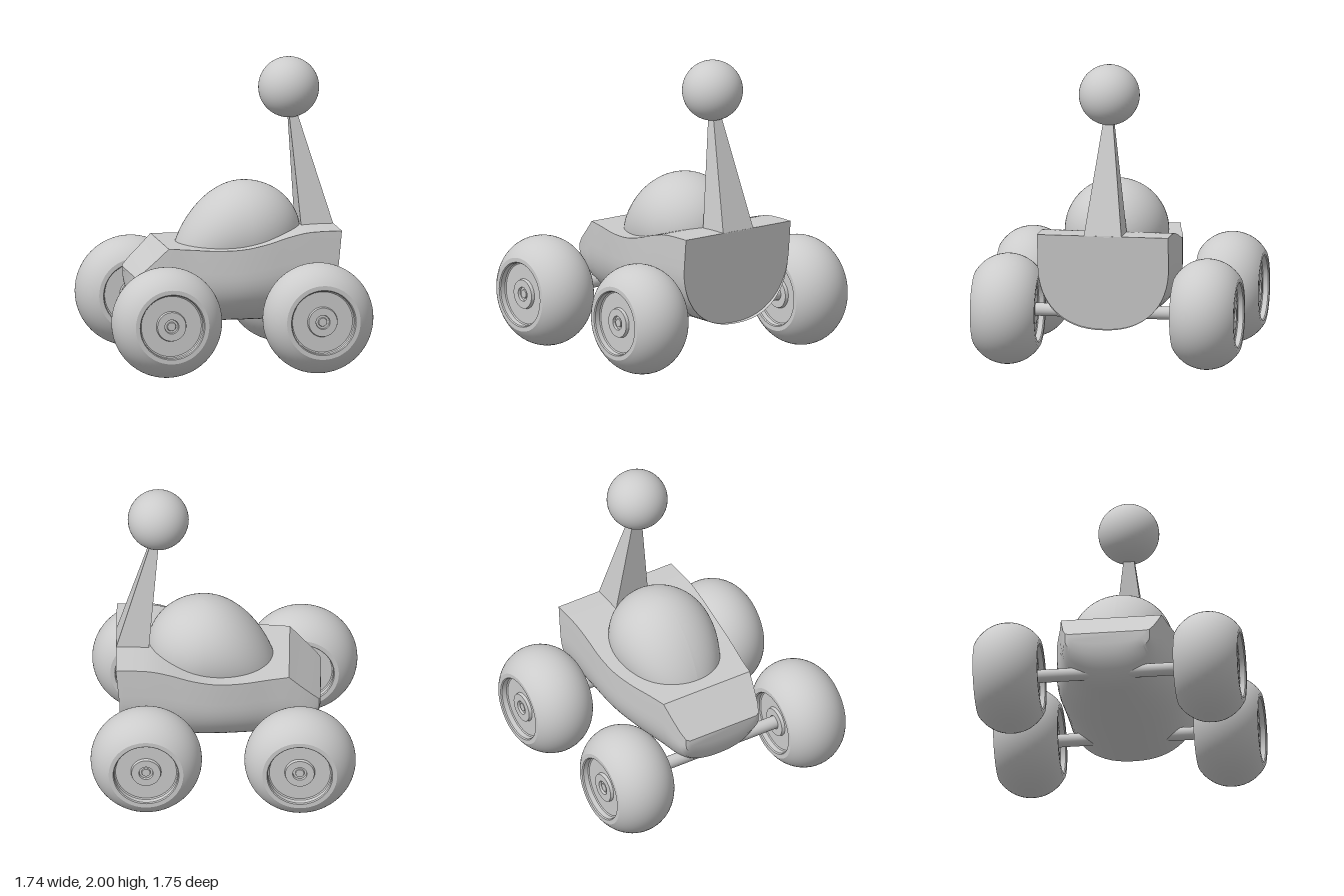
import * as THREE from 'three';
import { toCreasedNormals } from 'three/addons/utils/BufferGeometryUtils.js';

const material = new THREE.MeshStandardMaterial({ color: 0xcccccc });

function add(parent, name, geometry, x = 0, y = 0, z = 0) {
  const mesh = new THREE.Mesh(geometry, material);
  mesh.name = name;
  mesh.position.set(x, y, z);
  parent.add(mesh);
  return mesh;
}

// Hull: U-shaped cross-sections lofted along x, with a flat deck
function hullGeometry() {
  // sections: x, top y, bottom y, half width
  const sections = [
    [-0.635, 0.6, 0.52, 0.255], [-0.625, 0.61, 0.45, 0.28],
    [-0.58, 0.655, 0.36, 0.3], [-0.5, 0.73, 0.295, 0.318],
  ];
  const deck = new THREE.CatmullRomCurve3([
    [-0.43, 0.8, 0.333], [-0.3, 0.794, 0.357], [-0.12, 0.787, 0.397], [0.05, 0.795, 0.425],
    [0.2, 0.825, 0.436], [0.35, 0.87, 0.437], [0.47, 0.897, 0.437], [0.58, 0.904, 0.436],
    [0.705, 0.905, 0.435],
  ].map((p) => new THREE.Vector3(...p)));
  for (const p of deck.getPoints(40)) sections.push([p.x, p.y, 0.275, p.z]);

  const positions = [], index = [], steps = 32, ring = steps + 3;
  const last = sections.length - 1;
  sections.forEach(([x, top, bottom, w], i) => {
    const mid = bottom + 0.7 * (top - bottom);
    const put = (y, z) => {
      // the tail face leans inward toward the bottom
      const lean = i === last ? 0.095 * (0.905 - y) : 0;
      positions.push(x - lean, y, z);
    };
    put(top, w);
    for (let j = 0; j <= steps; j++) {
      const a = (Math.PI * j) / steps, c = Math.cos(a), s = Math.max(0, Math.sin(a)), e = 2 / 2.3;
      put(mid - (mid - bottom) * s ** e, w * Math.sign(c) * Math.abs(c) ** e);
    }
    put(top, -w);
  });
  for (let i = 0; i < last; i++) {
    for (let j = 0; j < ring; j++) {
      const k = (j + 1) % ring, a = i * ring, b = a + ring;
      index.push(a + j, a + k, b + j, a + k, b + k, b + j);
    }
  }
  // end caps
  const t = last * ring;
  for (let j = 1; j < ring - 1; j++) index.push(0, j + 1, j, t, t + j, t + j + 1);

  const geometry = new THREE.BufferGeometry();
  geometry.setAttribute('position', new THREE.Float32BufferAttribute(positions, 3));
  geometry.setIndex(index);
  return toCreasedNormals(geometry, 0.6);
}

// Canopy: a sphere stretched and drooping toward the nose
function canopyGeometry() {
  const geometry = new THREE.SphereGeometry(1, 64, 40);
  const p = geometry.attributes.position;
  for (let i = 0; i < p.count; i++) {
    const x = p.getX(i), t = Math.max(0, -x);
    p.setXYZ(i, x * (x < 0 ? 0.48 : 0.37), p.getY(i) * 0.34 - 0.19 * t * t, p.getZ(i) * 0.34);
  }
  geometry.computeVertexNormals();
  return geometry;
}

// Mast: a box tapering upward and leaning forward
function mastGeometry() {
  const geometry = new THREE.BoxGeometry(1, 1, 1).toNonIndexed();
  const p = geometry.attributes.position;
  for (let i = 0; i < p.count; i++) {
    const up = p.getY(i) > 0, right = p.getX(i) > 0;
    const x = up ? (right ? 0.475 : 0.425) : (right ? 0.705 : 0.49);
    p.setXYZ(i, x, up ? 1.65 : 0.9, Math.sign(p.getZ(i)) * (up ? 0.03 : 0.125));
  }
  geometry.computeVertexNormals();
  return geometry;
}

// Wheel: one profile, mirrored, for tyre, recessed rim and hub rings
function wheelGeometry() {
  const side = [
    [0, 0.18], [0.027, 0.18], [0.03, 0.17], [0.044, 0.17], [0.047, 0.187], [0.095, 0.187],
    [0.1, 0.166], [0.2, 0.166], [0.208, 0.172], [0.21, 0.205], [0.216, 0.2125], [0.245, 0.2125],
  ];
  const R = 0.248, end = Math.asin(0.2125 / R);
  const points = side.map(([r, h]) => new THREE.Vector2(r, -h));
  for (let i = 1; i < 24; i++) {
    const a = end * (i / 12 - 1);
    points.push(new THREE.Vector2(0.365 - R + R * Math.cos(a), R * Math.sin(a)));
  }
  points.push(...side.reverse().map(([r, h]) => new THREE.Vector2(r, h)));
  return toCreasedNormals(new THREE.LatheGeometry(points, 64).rotateX(Math.PI / 2), 0.5);
}

export function createModel() {
  const model = new THREE.Group();
  model.name = 'buggy';

  add(model, 'hull', hullGeometry());
  add(model, 'canopy', canopyGeometry(), 0.13, 0.85, 0);
  add(model, 'mast', mastGeometry());
  add(model, 'mastBall', new THREE.SphereGeometry(0.2, 48, 32), 0.43, 1.8, 0);

  // Axles and wheels
  const wheel = wheelGeometry();
  const axle = new THREE.CylinderGeometry(0.043, 0.043, 1.1, 32).rotateX(Math.PI / 2);
  for (const [end, x] of [['nose', -0.505], ['tail', 0.503]]) {
    add(model, end + 'Axle', axle, x, 0.37, 0);
    for (const [side, z] of [['Front', 0.662], ['Back', -0.662]]) {
      add(model, end + side + 'Wheel', wheel, x, 0.37, z);
    }
  }
  return model;
}
